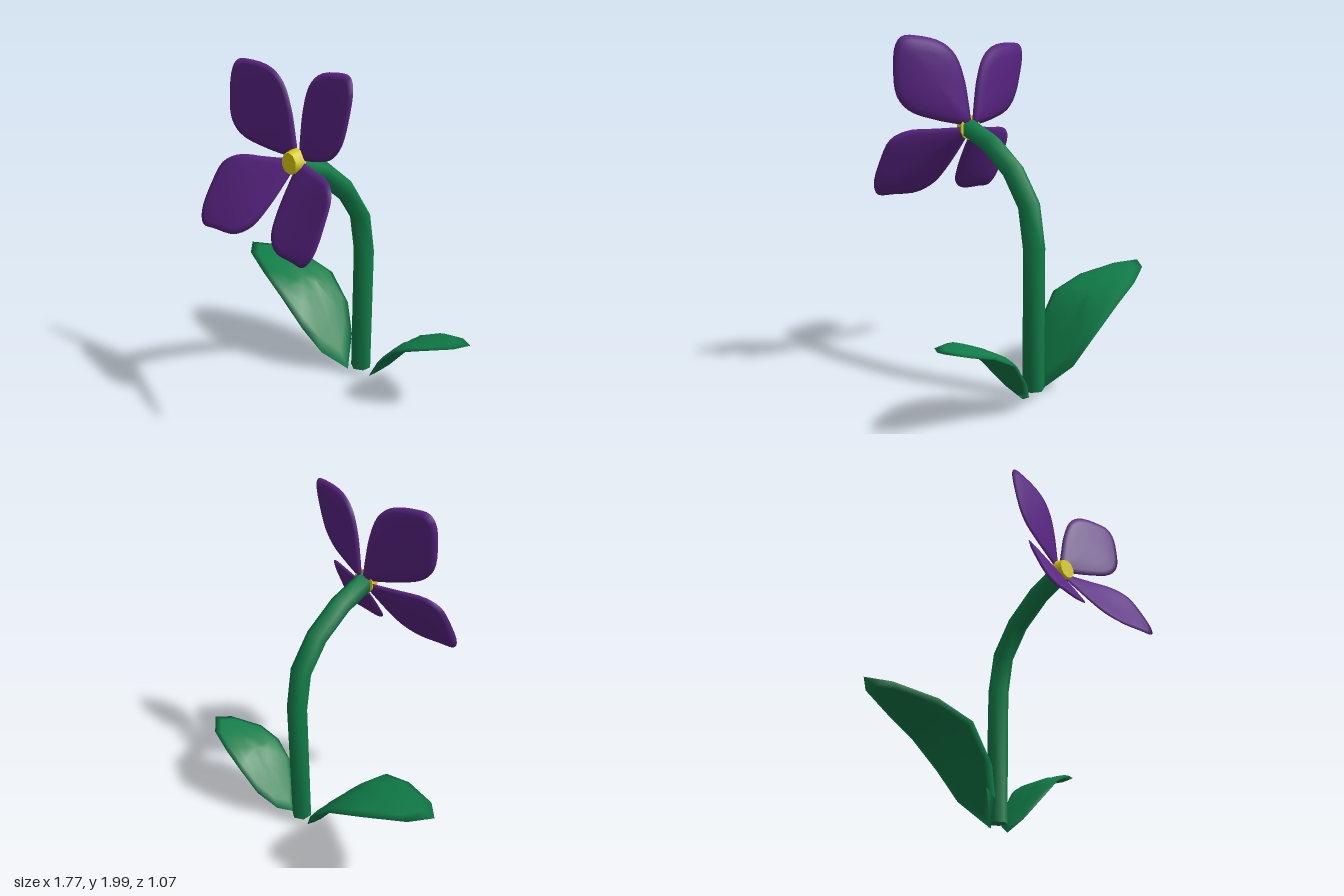
import * as THREE from 'three';

const green = new THREE.MeshStandardMaterial({ color: 0x117d49 });
green.name = 'leafGreen';
const purple = new THREE.MeshStandardMaterial({ color: 0x5b2586 });
purple.name = 'petalPurple';
const yellow = new THREE.MeshStandardMaterial({ color: 0xdfd214 });
yellow.name = 'pollenYellow';

// Closed thin pad: rings shrink from a flat outline to its middle on both sides.
// place(a, b, bulge) bends each point into space; bulge is 0 on the rim, +-1 in the middle.
function padGeometry(outline, place) {
  const n = outline.length;
  const ca = outline.reduce((s, p) => s + p[0], 0) / n;
  const cb = outline.reduce((s, p) => s + p[1], 0) / n;
  const levels = [[0.3, 1], [0.6, 1], [0.85, 1], [1, 0], [0.85, -1], [0.6, -1], [0.3, -1]];
  const pos = [], index = [];
  for (const [k, side] of levels) {
    for (const [a, b] of outline) {
      pos.push(...place(ca + (a - ca) * k, cb + (b - cb) * k, side * Math.sqrt(1 - k * k)));
    }
  }
  const front = levels.length * n, back = front + 1;
  pos.push(...place(ca, cb, 1), ...place(ca, cb, -1));
  const last = (levels.length - 1) * n;
  for (let i = 0; i < n; i++) {
    const j = (i + 1) % n;
    index.push(front, i, j, back, last + j, last + i);
    for (let r = 0; r < last; r += n) {
      index.push(r + i, r + n + i, r + j, r + j, r + n + i, r + n + j);
    }
  }
  // Make the corner order face outward whichever way the outline runs
  const v = (i) => new THREE.Vector3().fromArray(pos, i * 3);
  let volume = 0;
  for (let t = 0; t < index.length; t += 3) {
    volume += v(index[t]).dot(v(index[t + 1]).cross(v(index[t + 2])));
  }
  if (volume < 0) index.reverse();
  const geo = new THREE.BufferGeometry();
  geo.setAttribute('position', new THREE.Float32BufferAttribute(pos, 3));
  geo.setIndex(index);
  geo.computeVertexNormals();
  return geo;
}

// Smooth the outline but keep the sharp corner at its first point
function smoothOutline(points, count) {
  const curve = new THREE.CatmullRomCurve3(
    [...points, points[0]].map(([a, b]) => new THREE.Vector3(a, b, 0)), false, 'centripetal');
  return curve.getPoints(count).slice(0, -1).map((p) => [p.x, p.y]);
}

// Piecewise linear height along a leaf
function heightAt(table, x) {
  for (let i = 1; i < table.length; i++) {
    const [x0, y0] = table[i - 1], [x1, y1] = table[i];
    if (x <= x1 || i === table.length - 1) return y0 + (y1 - y0) * (x - x0) / (x1 - x0);
  }
}

// Hexagonal stem swept along a bend in the yz plane
function stemGeometry(path, radius, sides) {
  const pos = [], index = [];
  path.forEach(([z, y], i) => {
    const a = path[Math.max(i - 1, 0)], b = path[Math.min(i + 1, path.length - 1)];
    const len = Math.hypot(b[0] - a[0], b[1] - a[1]);
    const tz = (b[0] - a[0]) / len, ty = (b[1] - a[1]) / len;
    for (let s = 0; s < sides; s++) {
      const t = (s / sides) * Math.PI * 2;
      const across = Math.cos(t) * radius;
      pos.push(Math.sin(t) * radius, y - tz * across, z + ty * across);
    }
  });
  for (let r = 0; r < path.length - 1; r++) {
    for (let s = 0; s < sides; s++) {
      const a = r * sides + s, b = r * sides + (s + 1) % sides;
      index.push(a, b, a + sides, b, b + sides, a + sides);
    }
  }
  // End caps on their own corners so the rims stay crisp
  const base = pos.length / 3;
  pos.push(...pos.slice(0, sides * 3), ...pos.slice((path.length - 1) * sides * 3));
  for (let s = 1; s < sides - 1; s++) {
    index.push(base, base + s + 1, base + s);
    index.push(base + sides, base + sides + s, base + sides + s + 1);
  }
  const geo = new THREE.BufferGeometry();
  geo.setAttribute('position', new THREE.Float32BufferAttribute(pos, 3));
  geo.setIndex(index);
  geo.computeVertexNormals();
  return geo;
}

export function createModel() {
  const model = new THREE.Group();
  model.name = 'flower';
  const add = (name, geo, mat, parent = model) => {
    const mesh = new THREE.Mesh(geo, mat);
    mesh.name = name;
    parent.add(mesh);
    return mesh;
  };

  // Stem
  const stemPath = [[-0.335, 0.05], [-0.335, 0.85], [-0.295, 1.08], [-0.17, 1.26], [0.01, 1.4], [0.2, 1.485]];
  add('stem', stemGeometry(stemPath, 0.063, 6), green).position.x = 0.13;

  // Petals: outlines run outward from the flower's middle
  const head = new THREE.Group();
  head.name = 'flowerHead';
  head.position.set(0.13, 1.49, 0.18);
  model.add(head);
  const upperOutline = smoothOutline([[0, 0.01], [0.02, 0.15], [0.045, 0.28], [0.1, 0.41], [0.19, 0.48],
    [0.35, 0.508], [0.44, 0.5], [0.475, 0.45], [0.475, 0.31], [0.445, 0.18], [0.37, 0.1], [0.2, 0.045]], 40);
  const lowerOutline = smoothOutline([[0, 0.01], [0.015, -0.12], [0.04, -0.24], [0.08, -0.33], [0.17, -0.385],
    [0.33, -0.39], [0.43, -0.385], [0.475, -0.32], [0.475, -0.17], [0.45, -0.06], [0.37, -0.01], [0.2, 0]], 40);
  const thickness = (t) => (t > 0 ? 0.01 : 0.03) * t;
  for (const [side, m] of [['Left', 1], ['Right', -1]]) {
    add('upper' + side + 'Petal', padGeometry(upperOutline, (x, y, t) =>
      [m * x, y, x * (0.31 - 0.35 * y) + thickness(t)]), purple, head);
    add('lower' + side + 'Petal', padGeometry(lowerOutline, (x, y, t) =>
      [m * x, y, -0.75 * y + 0.33 * x * (1 + 1.6 * y) + thickness(t)]), purple, head);
  }

  // Flower centre
  const centre = add('flowerCentre', new THREE.CylinderGeometry(0.058, 0.075, 0.06, 10), yellow, head);
  centre.rotation.x = Math.PI / 2;
  centre.position.z = 0.04;

  // Leaves: outline from above, then height along x
  const leaf = (name, outline, table, thick) => add(name, padGeometry(outline, (x, z, t) =>
    [x, heightAt(table, x) + thick * t, z]), green);
  leaf('rightLeaf',
    [[0.05, -0.3], [-0.07, -0.45], [-0.18, -0.515], [-0.36, -0.535], [-0.57, -0.485], [-0.8, -0.37],
      [-0.89, -0.26], [-0.78, -0.16], [-0.54, -0.08], [-0.33, -0.045], [-0.15, -0.085], [-0.05, -0.16]],
    [[-0.89, 0.63], [-0.54, 0.56], [-0.31, 0.47], [-0.17, 0.32], [-0.07, 0.16], [0.05, 0.005]], 0.03);
  leaf('leftLeaf',
    [[0.21, -0.33], [0.26, -0.43], [0.35, -0.51], [0.46, -0.55], [0.61, -0.55], [0.77, -0.52],
      [0.88, -0.44], [0.83, -0.35], [0.66, -0.235], [0.52, -0.2], [0.4, -0.2], [0.28, -0.27]],
    [[0.21, 0.01], [0.3, 0.11], [0.38, 0.22], [0.48, 0.34], [0.63, 0.405], [0.88, 0.465]], 0.022);

  return model;
}
